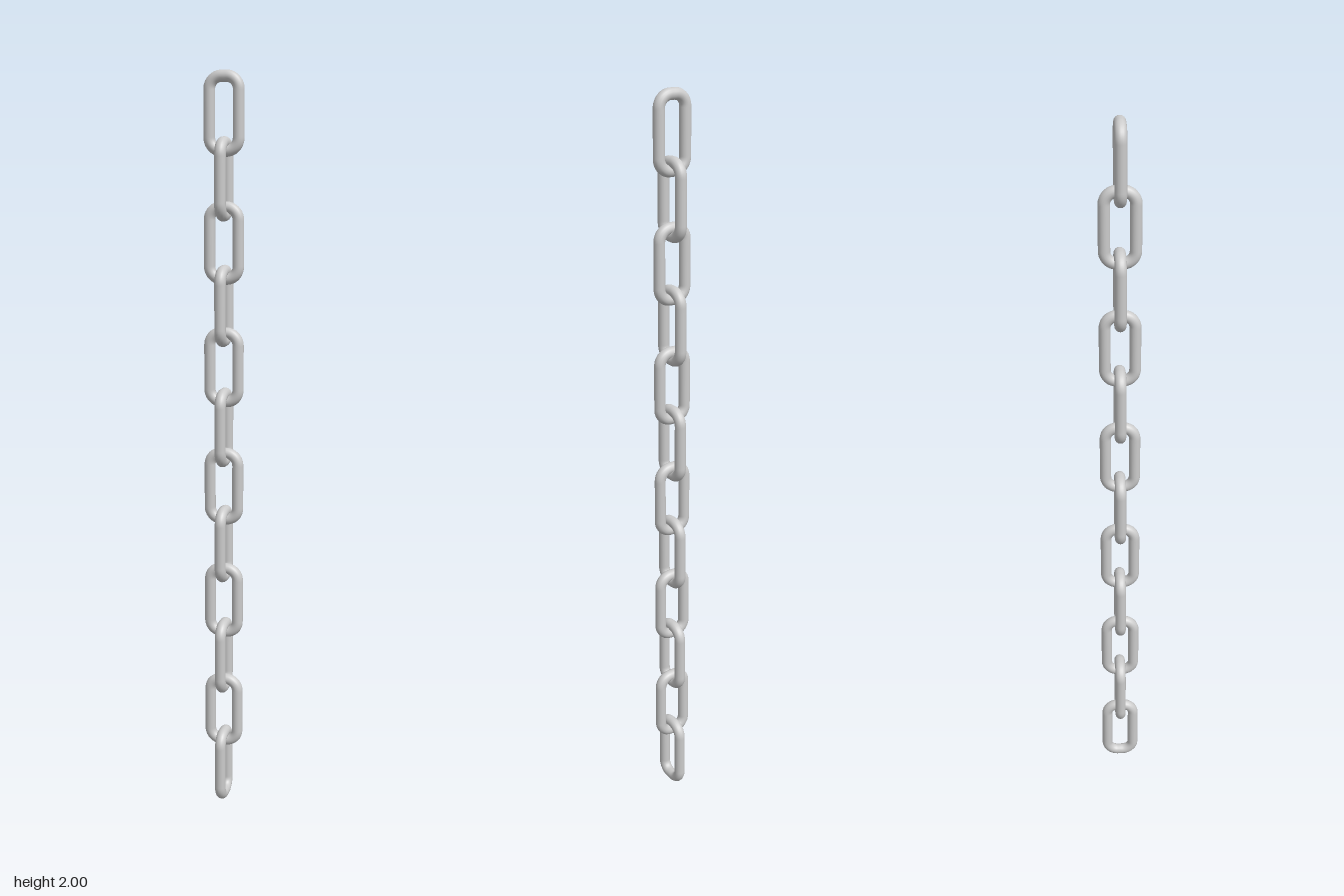
import * as THREE from 'three';

const LINKS = 12;
const WIRE = 0.015;          // wire radius
const LENGTH = 0.2135;       // outer length of one link
const WIDTH = 0.107;         // outer width of one link
const CORNER = 0.032;        // bend radius of the wire centreline

// Closed rounded-rectangle centreline in the XY plane, starting mid-side
function linkPath() {
  const w = WIDTH / 2 - WIRE, h = LENGTH / 2 - WIRE, r = CORNER;
  const k = r * (1 - 0.5523);
  const v = (x, y) => new THREE.Vector3(x, y, 0);
  const path = new THREE.CurvePath();
  const line = (a, b) => path.add(new THREE.LineCurve3(a, b));
  const bend = (a, b, c, d) => path.add(new THREE.CubicBezierCurve3(a, b, c, d));

  line(v(w, 0), v(w, h - r));
  bend(v(w, h - r), v(w, h - k), v(w - k, h), v(w - r, h));
  line(v(w - r, h), v(r - w, h));
  bend(v(r - w, h), v(k - w, h), v(-w, h - k), v(-w, h - r));
  line(v(-w, h - r), v(-w, r - h));
  bend(v(-w, r - h), v(-w, k - h), v(k - w, -h), v(r - w, -h));
  line(v(r - w, -h), v(w - r, -h));
  bend(v(w - r, -h), v(w - k, -h), v(w, k - h), v(w, r - h));
  line(v(w, r - h), v(w, 0));
  return path;
}

export function createModel() {
  const chain = new THREE.Group();
  chain.name = 'chain';
  const material = new THREE.MeshStandardMaterial({ color: 0xcccccc });
  const geometry = new THREE.TubeGeometry(linkPath(), 112, WIRE, 16, true);
  const pitch = (2 - LENGTH) / (LINKS - 1);

  // Links hang from the top, every second one turned a quarter
  for (let i = 0; i < LINKS; i++) {
    const link = new THREE.Mesh(geometry, material);
    link.name = `link${i + 1}`;
    link.position.y = 2 - LENGTH / 2 - i * pitch;
    link.rotation.y = (i % 2) * Math.PI / 2;
    chain.add(link);
  }
  return chain;
}
